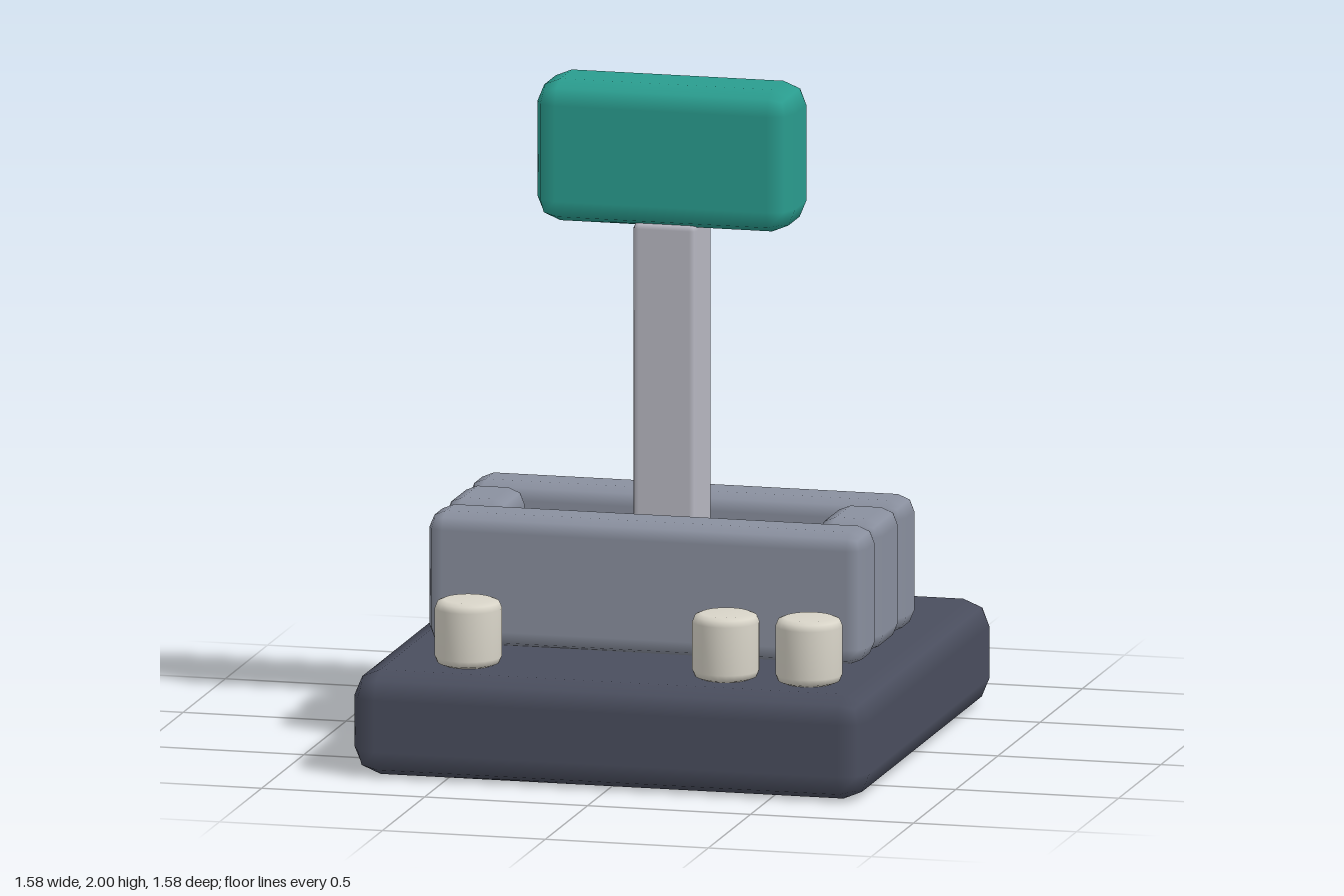
import * as THREE from 'three';
import { RoundedBoxGeometry } from 'three/addons/geometries/RoundedBoxGeometry.js';

const paint = (name, color) => {
  const m = new THREE.MeshStandardMaterial({ color });
  m.name = name;
  return m;
};

export function createModel() {
  const model = new THREE.Group();
  model.name = 'leverSwitch';

  const charcoal = paint('charcoal', 0x4a4e5e);
  const slate = paint('slate grey', 0x8a909f);
  const steel = paint('pale steel', 0xb8b8c2);
  const teal = paint('teal', 0x2a9d8f);
  const ivory = paint('ivory', 0xd8d4c8);

  const add = (name, geometry, material, x, y, z) => {
    const mesh = new THREE.Mesh(geometry, material);
    mesh.name = name;
    mesh.position.set(x, y, z);
    model.add(mesh);
  };

  // Softly bevelled box standing on height y0
  const block = (name, material, [w, h, d], radius, x, y0, z) =>
    add(name, new RoundedBoxGeometry(w, h, d, 1, radius), material, x, y0 + h / 2, z);

  const deck = 0.317;

  // Base slab
  block('base', charcoal, [1.58, deck, 1.58], 0.08, 0, 0, 0);

  // Four walls around the lever slot
  for (const s of [1, -1]) {
    block(s > 0 ? 'frontWall' : 'backWall', slate, [1.34, 0.4, 0.195], 0.05, 0, deck, s * 0.236);
    block(s > 0 ? 'leftWall' : 'rightWall', slate, [0.195, 0.4, 0.274], 0.05, s * 0.572, deck, 0);
  }

  // Lever post and grip
  block('leverPost', steel, [0.195, 1.265, 0.195], 0.02, 0, deck, 0);
  block('leverGrip', teal, [0.79, 0.43, 0.274], 0.07, 0, 1.57, 0);

  // Round buttons with bevelled rims
  const r = 0.1, h = 0.198, b = 0.026, k = b * 0.293;
  const profile = [
    [0, 0], [r - b, 0], [r - k, k], [r, b],
    [r, h - b], [r - k, h - k], [r - b, h], [0, h],
  ].map(([x, y]) => new THREE.Vector2(x, y));
  const button = new THREE.LatheGeometry(profile, 24);
  [-0.477, 0.313, 0.568].forEach((x, i) => add('button' + (i + 1), button, ivory, x, deck, 0.57));

  return model;
}
